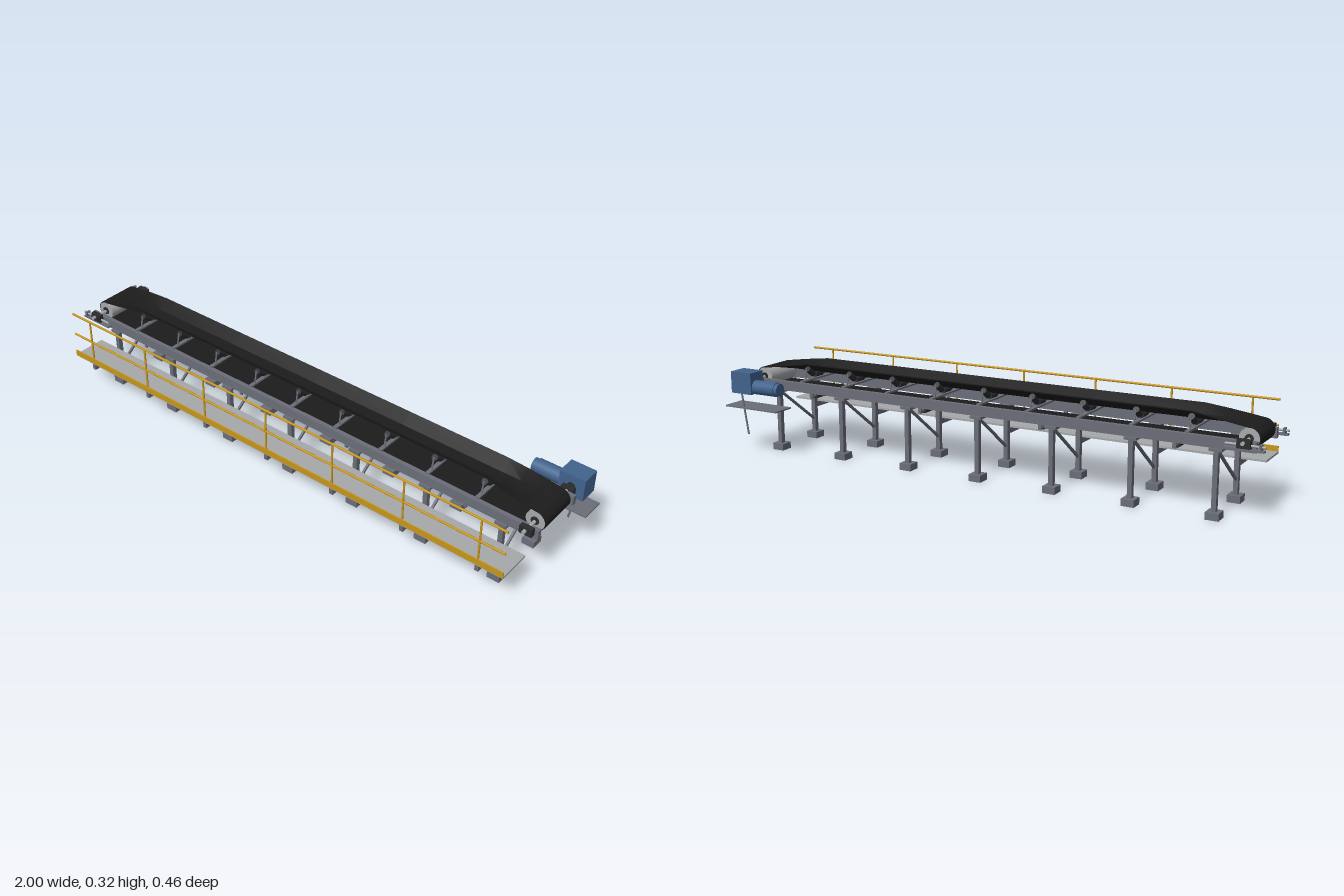
import * as THREE from 'three';
import { toCreasedNormals } from 'three/addons/utils/BufferGeometryUtils.js';

const mat = (name, color, side = THREE.FrontSide) => {
  const m = new THREE.MeshStandardMaterial({ color, side });
  m.name = name;
  return m;
};

export function createModel() {
  const steel = mat('steel grey', 0x6b6e78);
  const light = mat('galvanised grey', 0xa6a8aa);
  const rubber = mat('belt black', 0x1c1c1c);
  const dark = mat('dark iron', 0x2b2c2e);
  const yellow = mat('safety yellow', 0xc8961a);
  const blue = mat('drive blue', 0x41638c);
  const orange = mat('scraper orange', 0xdd6a1c);

  const model = new THREE.Group();
  model.name = 'beltConveyor';
  const root = new THREE.Group();
  root.name = 'conveyor';
  root.position.z = -0.007;
  model.add(root);

  const add = (name, geo, m, x, y, z) => {
    const mesh = new THREE.Mesh(geo, m);
    mesh.name = name;
    mesh.position.set(x, y, z);
    root.add(mesh);
    return mesh;
  };
  const box = (name, m, w, h, d, x, y, z) => add(name, new THREE.BoxGeometry(w, h, d), m, x, y, z);
  // Cylinder between two points
  const rod = (name, m, r, a, b, seg = 16) => {
    const p = new THREE.Vector3(...a), q = new THREE.Vector3(...b), d = q.clone().sub(p);
    const c = p.clone().add(q).multiplyScalar(0.5);
    const mesh = add(name, new THREE.CylinderGeometry(r, r, d.length(), seg), m, c.x, c.y, c.z);
    mesh.quaternion.setFromUnitVectors(new THREE.Vector3(0, 1, 0), d.normalize());
    return mesh;
  };

  const END = 0.93, AXIS = 0.26, R = 0.036, FRAME = 0.102;
  const bays = [-3, -2, -1, 0, 1, 2, 3].map(i => i * 0.28);

  // Belt: a trough cross-section swept round a closed loop
  const stations = [];
  const carry = [-0.93, -0.88, -0.82, -0.74, -0.37, 0, 0.37, 0.74, 0.82, 0.88];
  for (const x of carry) {
    const t = Math.min(1, (END - Math.abs(x)) / 0.19);
    stations.push({ x, y: AXIS + R - 0.002 * t, nx: 0, ny: 1, t });
  }
  const arc = (cx, start) => {
    for (let i = 0; i <= 16; i++) {
      const a = start - Math.PI * i / 16, nx = Math.cos(a), ny = Math.sin(a);
      stations.push({ x: cx + R * nx, y: AXIS + R * ny, nx, ny, t: 0 });
    }
  };
  arc(END, Math.PI / 2);
  arc(-END, -Math.PI / 2);
  const HALF = 0.022, WING = 0.05;
  const rings = stations.map(s => {
    const ang = s.t * 35 * Math.PI / 180;
    const w = HALF + WING * Math.cos(ang), lift = WING * Math.sin(ang);
    const section = [[-w, lift], [-HALF, 0], [HALF, 0], [w, lift]];
    const inner = section.map(([z, l]) => [z, l - 0.004]).reverse();
    return [...section, ...inner].map(([z, l]) => [s.x + s.nx * l, s.y + s.ny * l, z]);
  });
  const pos = [];
  rings.forEach((r, i) => {
    const n = rings[(i + 1) % rings.length];
    for (let j = 0; j < 8; j++) {
      const k = (j + 1) % 8;
      pos.push(...r[j], ...r[k], ...n[k], ...r[j], ...n[k], ...n[j]);
    }
  });
  const beltGeo = new THREE.BufferGeometry();
  beltGeo.setAttribute('position', new THREE.Float32BufferAttribute(pos, 3));
  beltGeo.computeVertexNormals();
  add('belt', toCreasedNormals(beltGeo, 0.4), rubber, 0, 0, 0);

  // Pulleys, shafts and bearings
  for (const s of [-1, 1]) {
    const x = s * END;
    rod('pulley', light, R - 0.003, [x, AXIS, -0.0725], [x, AXIS, 0.0725], 32);
    rod('pulleyHub', dark, 0.014, [x, AXIS, -0.076], [x, AXIS, 0.076], 20);
    rod('pulleyShaft', light, 0.006, [x, AXIS - 0.002, -0.141], [x, AXIS - 0.002, 0.141]);
    for (const k of [-1, 1]) {
      box('bearingBlock', dark, 0.044, 0.028, 0.018, x, 0.254, k * 0.119);
      rod('bearingCap', dark, 0.013, [x, 0.258, k * 0.112], [x, 0.258, k * 0.13], 20);
    }
  }

  // Stringers and belt take-up frames
  for (const k of [-1, 1]) {
    box('stringer', steel, 1.93, 0.034, 0.016, 0, 0.243, k * FRAME);
    box('takeUpRail', steel, 0.13, 0.006, 0.018, -0.93, 0.237, k * 0.119);
    rod('takeUpScrew', light, 0.004, [-0.998, 0.25, k * 0.119], [-0.87, 0.25, k * 0.119], 10);
    box('takeUpStop', steel, 0.008, 0.024, 0.018, -0.982, 0.246, k * 0.119);
  }

  // Trestles with footings, cross beam, brace and walkway bracket
  for (const x of bays) {
    for (const k of [-1, 1]) {
      box('footing', steel, 0.045, 0.024, 0.046, x, 0.012, k * FRAME);
      box('leg', steel, 0.016, 0.196, 0.017, x, 0.121, k * FRAME);
    }
    box('crossBeam', steel, 0.042, 0.009, 0.236, x, 0.2215, 0);
    const brace = box('diagonalBrace', steel, 0.008, 0.008, 0.238, x, 0.146, 0);
    brace.rotation.x = Math.atan2(0.142, 0.19);
    box('walkwayBracket', steel, 0.014, 0.022, 0.124, x, 0.129, 0.172);
    rod('railPost', yellow, 0.0035, [x, 0.146, 0.23], [x, 0.32, 0.23], 10);
  }

  // Walkway with toe board and handrails
  box('walkwayDeck', light, 1.865, 0.007, 0.124, 0, 0.1435, 0.172);
  box('toeBoard', yellow, 1.865, 0.022, 0.004, 0, 0.154, 0.233);
  for (const y of [0.235, 0.32]) rod('handrail', yellow, 0.004, [-END, y, 0.23], [END, y, 0.23], 10);

  // Troughed carrying idlers
  for (let i = -4; i <= 4; i++) {
    const x = i * 0.185;
    box('idlerBase', steel, 0.014, 0.006, 0.2, x, 0.262, 0);
    rod('centreRoller', dark, 0.011, [x, 0.278, -0.021], [x, 0.278, 0.021]);
    for (const k of [-1, 1]) {
      rod('wingRoller', dark, 0.011, [x, 0.281, k * 0.029], [x, 0.304, k * 0.062]);
      rod('rollerBracket', steel, 0.003, [x, 0.262, k * 0.075], [x, 0.306, k * 0.066], 8);
      rod('innerBracket', steel, 0.003, [x, 0.262, k * 0.025], [x, 0.28, k * 0.025], 8);
    }
  }

  // Return idlers
  for (const x of [-0.7, -0.233, 0.233, 0.7]) {
    rod('returnRoller', dark, 0.011, [x, 0.211, -0.071], [x, 0.211, 0.071]);
    rod('returnSpindle', steel, 0.004, [x, 0.211, -0.1], [x, 0.211, 0.1], 8);
    for (const k of [-1, 1]) box('returnHanger', steel, 0.012, 0.03, 0.005, x, 0.219, k * 0.095);
  }

  // Belt scraper below the head pulley
  box('scraperBlade', orange, 0.008, 0.008, 0.142, 0.935, 0.216, 0);
  rod('scraperBar', steel, 0.004, [0.925, 0.222, -0.1], [0.925, 0.222, 0.1], 8);

  // Drive: gearbox, motor, platform and torque arm
  box('gearbox', blue, 0.09, 0.079, 0.07, 0.93, 0.2585, -0.174);
  rod('motor', blue, 0.026, [0.79, 0.243, -0.178], [0.886, 0.243, -0.178], 24);
  rod('motorFanCover', blue, 0.023, [0.776, 0.243, -0.178], [0.791, 0.243, -0.178], 24);
  rod('outputHub', dark, 0.014, [END, 0.258, -0.141], [END, 0.258, -0.134], 20);
  box('drivePlatform', steel, 0.232, 0.005, 0.088, 0.881, 0.17, -0.177);
  rod('torqueArm', steel, 0.0035, [0.928, 0.222, -0.209], [0.904, 0.072, -0.209], 10);

  return model;
}
